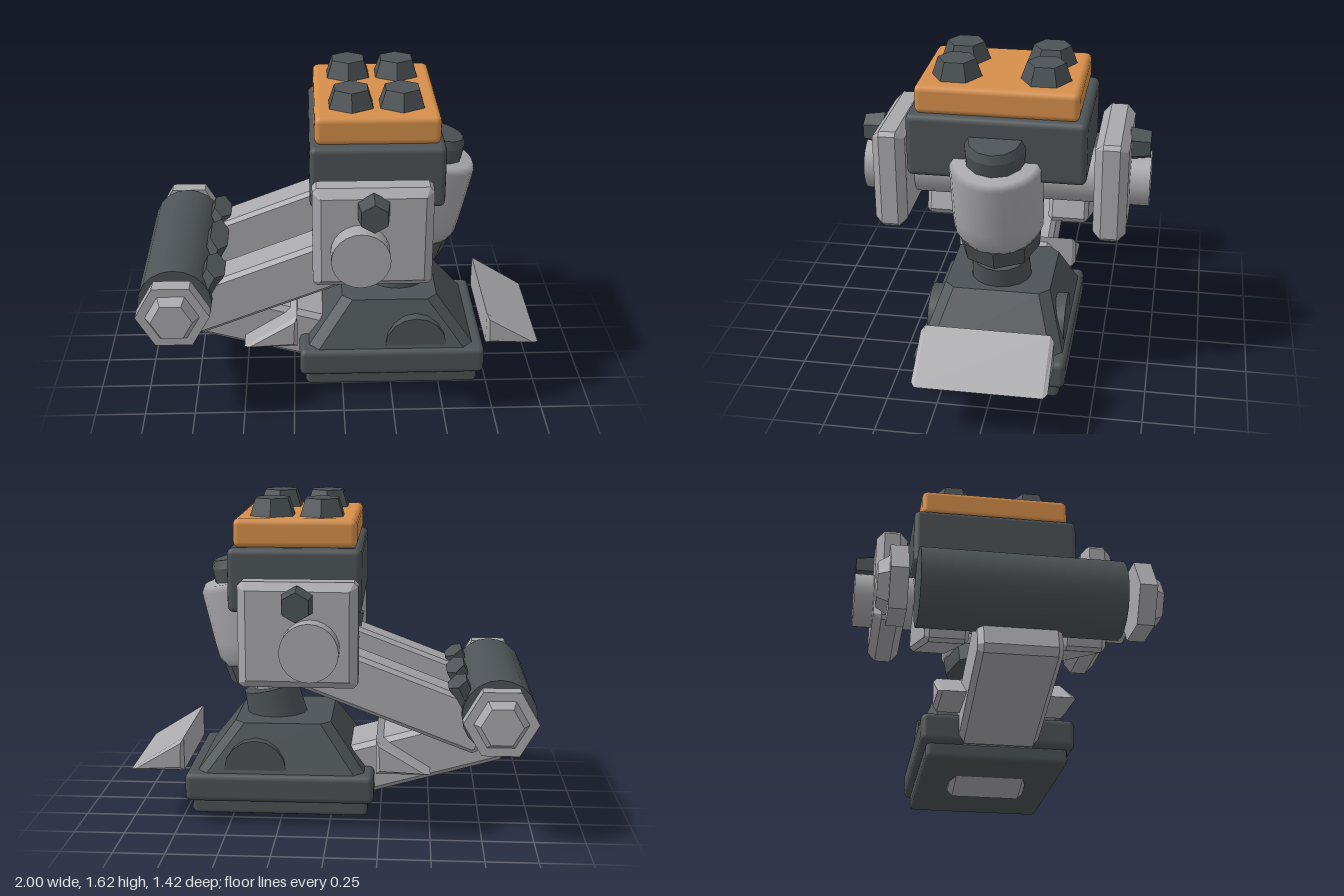
import * as THREE from 'three';
import { RoundedBoxGeometry } from 'three/addons/geometries/RoundedBoxGeometry.js';

const paint = (name, color) => Object.assign(new THREE.MeshStandardMaterial({ color }), { name });

// Facet a geometry so every face keeps its own normal
function flat(g) {
  const f = g.index ? g.toNonIndexed() : g;
  f.computeVertexNormals();
  return f;
}

// Extruded outline with one flat bevel, centred in depth on z = 0
function bevelled(points, depth, bevel) {
  const shape = new THREE.Shape(points.map(([x, y]) => new THREE.Vector2(x, y)));
  const g = new THREE.ExtrudeGeometry(shape, {
    depth: depth - 2 * bevel, bevelEnabled: true, bevelThickness: bevel,
    bevelSize: bevel, bevelOffset: -bevel, bevelSegments: 1,
  });
  return flat(g.translate(0, 0, bevel - depth / 2));
}

// Box with clipped corners and bevelled rims, centred on the origin
function clippedBox(w, h, d, clip, bevel) {
  const x = w / 2, y = h / 2, c = clip;
  return bevelled([[-x + c, -y], [x - c, -y], [x, -y + c], [x, y - c],
    [x - c, y], [-x + c, y], [-x, y - c], [-x, -y + c]], d, bevel);
}

const hex = (top, bottom, h) => flat(new THREE.CylinderGeometry(top, bottom, h, 6));

// Loft between two corner-clipped rectangles: [x0, x1, halfZ, y]
function taperedBlock(low, high, c) {
  const ring = ([x0, x1, z, y]) => [[x0 + c, z], [x1 - c, z], [x1, z - c], [x1, c - z],
    [x1 - c, -z], [x0 + c, -z], [x0, c - z], [x0, z - c]].map(([x, zz]) => [x, y, zz]);
  const pos = [...ring(low), ...ring(high)].flat(), idx = [];
  for (let i = 0; i < 8; i++) {
    const j = (i + 1) % 8;
    idx.push(i, j, j + 8, i, j + 8, i + 8);
    if (i > 0 && i < 7) idx.push(8, 8 + i, 9 + i, 0, i + 1, i);
  }
  const g = new THREE.BufferGeometry();
  g.setAttribute('position', new THREE.Float32BufferAttribute(pos, 3));
  g.setIndex(idx);
  return flat(g);
}

export function createModel() {
  const model = new THREE.Group();
  const steel = paint('light steel', 0xa9a9ad);
  const dark = paint('dark metal', 0x4d5356);
  const orange = paint('orange paint', 0xd68f4a);

  function add(name, geometry, material, x = 0, y = 0, z = 0, tilt = 0, parent = model) {
    const mesh = new THREE.Mesh(geometry, material);
    mesh.name = name;
    mesh.position.set(x, y, z);
    mesh.rotation.z = tilt;
    parent.add(mesh);
    return mesh;
  }

  // Upper housing with orange lid and four bolts
  add('housing', new RoundedBoxGeometry(0.64, 0.31, 0.85, 2, 0.03), dark, 0.16, 1.255, 0);
  add('lid', new RoundedBoxGeometry(0.59, 0.14, 0.77, 2, 0.03), orange, 0.16, 1.475, 0);
  for (const x of [0.04, 0.28]) {
    for (const z of [-0.21, 0.21]) add('lidBolt', hex(0.09, 0.125, 0.1), dark, x, 1.58, z);
  }

  // Hip axle, side plates and their bolts
  add('axle', new THREE.CylinderGeometry(0.137, 0.137, 1.42, 24).rotateX(Math.PI / 2), steel, 0.07, 0.975, 0);
  for (const s of [-1, 1]) {
    add('sidePlate', clippedBox(0.56, 0.5, 0.16, 0.02, 0.04), steel, 0.13, 1.03, s * 0.533);
    add('plateBolt', hex(0.07, 0.085, 0.1).rotateX(s * Math.PI / 2), dark, 0.13, 1.185, s * 0.655);
  }

  // Paired upper arms with a bolt on top of each
  for (const s of [-1, 1]) {
    add('upperArm', clippedBox(0.92, 0.25, 0.2, 0.02, 0.02), steel, -0.33, 0.69, s * 0.31, 0.365);
    add('armBolt', hex(0.07, 0.09, 0.1), dark, -0.07, 0.94, s * 0.31, 0.365);
  }

  // Single lower arm
  add('lowerArm', clippedBox(1.19, 0.26, 0.38, 0.03, 0.025), steel, -0.27, 0.285, 0, -0.275);

  // Elbow roller with clamps and hexagonal end caps
  add('elbowRoller', new THREE.CylinderGeometry(0.18, 0.18, 0.91, 20).rotateX(Math.PI / 2), dark, -0.82, 0.62, 0);
  for (const [z, r] of [[-0.33, 0.13], [0, 0.17], [0.33, 0.13]]) {
    add('elbowClamp', flat(new THREE.CylinderGeometry(1, 0.9, 0.18, 6).scale(0.055, 1, r)), dark,
      -0.66, 0.68, z, -0.45);
  }
  for (const s of [-1, 1]) {
    const turn = (g) => g.rotateY(Math.PI / 6).rotateX(s * Math.PI / 2);
    add('capRim', turn(hex(0.178, 0.178, 0.08)), steel, -0.82, 0.62, s * 0.545);
    add('capNose', turn(hex(0.1, 0.13, 0.05)), steel, -0.82, 0.62, s * 0.61);
  }

  // Foot: sole, slab, tapered top and ankle hub
  add('sole', new RoundedBoxGeometry(0.88, 0.09, 0.68, 1, 0.025), dark, 0.25, 0.1, 0);
  add('footSlab', new RoundedBoxGeometry(0.94, 0.145, 0.74, 2, 0.03), dark, 0.25, 0.2, 0);
  add('footTop', taperedBlock([-0.18, 0.67, 0.35, 0.26], [0, 0.48, 0.26, 0.51], 0.05), dark);
  add('ankleHub', new THREE.CylinderGeometry(0.155, 0.155, 0.68, 16).rotateX(Math.PI / 2), dark, 0.37, 0.285, 0);

  // Toe wedges at both ends of the foot
  for (const s of [-1, 1]) {
    const outline = [[0.48, 0.27], [0.75, 0.27], [0.48, 0.44]].map(([x, y]) => [s * x, y]);
    if (s < 0) outline.reverse();
    add('toeWedge', bevelled(outline, 0.64, 0.02), steel, 0.25, 0, 0);
  }

  // Tilted shock strut, measured along its own axis
  const strut = new THREE.Group();
  strut.name = 'strut';
  strut.position.set(0.46, 1.21, 0);
  strut.rotation.z = -0.234;
  model.add(strut);
  const sleeve = new THREE.LatheGeometry(
    [[0, -0.44], [0.185, -0.44], [0.217, -0.38], [0.22, -0.3], [0.22, -0.03], [0.2, 0], [0, 0]]
      .map(([x, y]) => new THREE.Vector2(x, y)), 24);
  add('strutSleeve', sleeve, steel, 0, 0, 0, 0, strut);
  add('strutCap', new THREE.CylinderGeometry(0.125, 0.145, 0.04, 12), dark, 0, 0.09, 0, 0, strut);
  add('strutCapBase', new THREE.CylinderGeometry(0.145, 0.145, 0.12, 12), dark, 0, 0.01, 0, 0, strut);
  add('strutCollar', flat(new THREE.CylinderGeometry(0.205, 0.195, 0.1, 8)), dark, 0, -0.47, 0, 0, strut);
  add('strutRod', flat(new THREE.CylinderGeometry(0.085, 0.085, 0.3, 8)), steel, 0, -0.6, 0, 0, strut);
  add('strutFoot', new THREE.CylinderGeometry(0.14, 0.155, 0.2, 16), dark, 0, -0.685, 0, 0, strut);

  return model;
}
